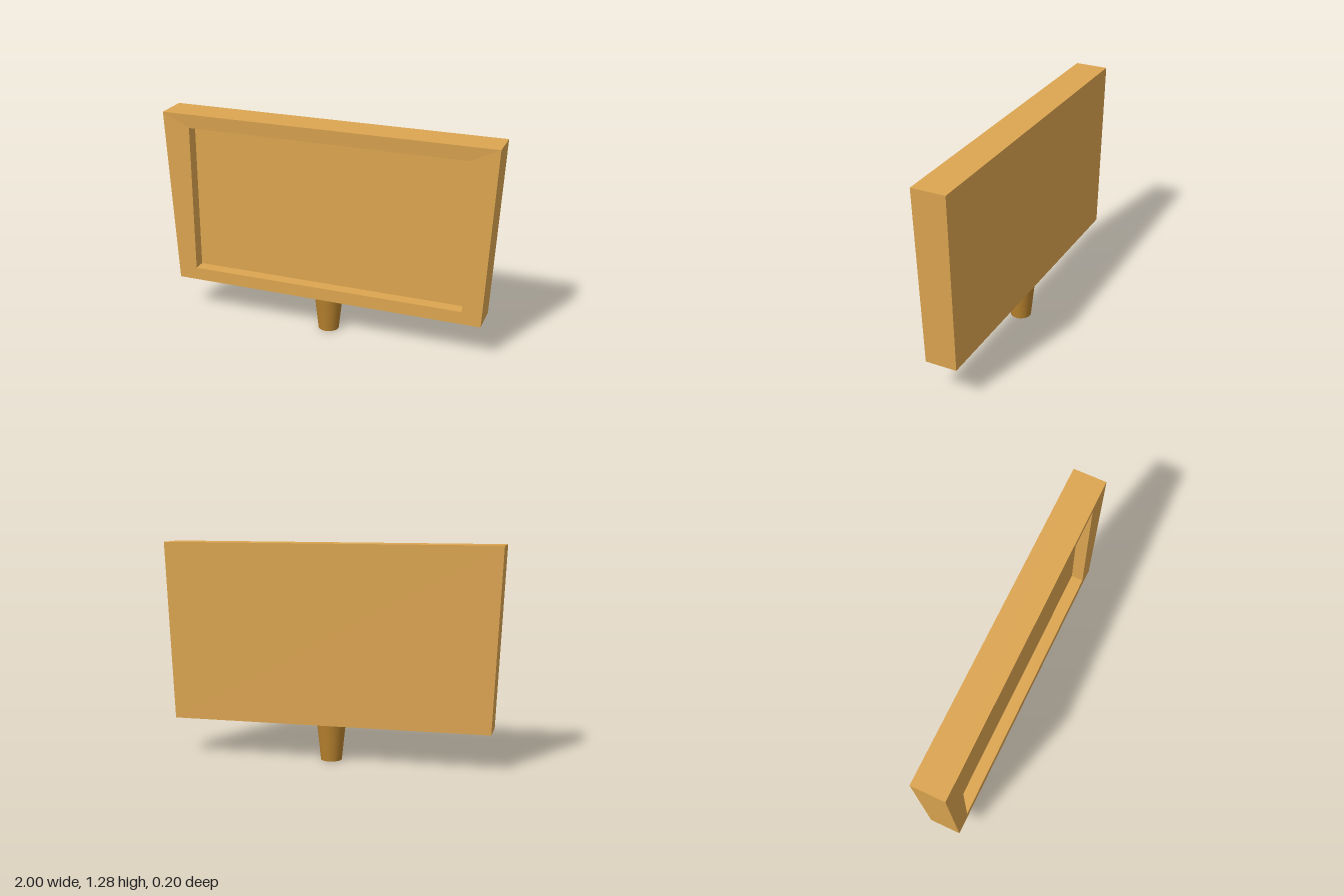
import * as THREE from 'three';

// Four corners, counter-clockwise seen from the front
const ring = (yLow, yHigh, halfLow, halfHigh, zLow, zHigh) => [
  [-halfLow, yLow, zLow], [halfLow, yLow, zLow],
  [halfHigh, yHigh, zHigh], [-halfHigh, yHigh, zHigh],
];

// Joins successive rings with walls and closes both ends
function loft(rings) {
  const pos = [];
  const quad = (a, b, c, d) => pos.push(...a, ...b, ...c, ...a, ...c, ...d);
  for (let r = 0; r < rings.length - 1; r++) {
    for (let i = 0; i < 4; i++) {
      const j = (i + 1) % 4;
      quad(rings[r][i], rings[r][j], rings[r + 1][j], rings[r + 1][i]);
    }
  }
  const [a, b, c, d] = rings[0];
  quad(d, c, b, a);
  quad(...rings[rings.length - 1]);
  const geo = new THREE.BufferGeometry();
  geo.setAttribute('position', new THREE.Float32BufferAttribute(pos, 3));
  geo.computeVertexNormals();
  return geo;
}

export function createModel() {
  const model = new THREE.Group();
  model.name = 'signBoard';

  // Board flaring toward the top, with a recessed front panel
  const board = new THREE.Mesh(
    loft([
      ring(0.22, 1.28, 0.95, 1, -0.094, -0.1),      // back edge
      ring(0.22, 1.28, 0.95, 1, 0.094, 0.1),        // front edge
      ring(0.297, 1.197, 0.837, 0.837, 0.094, 0.094), // inner rim
      ring(0.297, 1.197, 0.837, 0.837, 0.02, 0.02),   // recessed panel
    ]),
    new THREE.MeshStandardMaterial({ color: 0xdca550 })
  );
  board.name = 'board';

  // Short tapered stem under the board
  const stem = new THREE.Mesh(
    new THREE.CylinderGeometry(0.085, 0.062, 0.22, 32),
    new THREE.MeshStandardMaterial({ color: 0xb8822e })
  );
  stem.name = 'stem';
  stem.position.y = 0.11;

  model.add(board, stem);
  return model;
}
